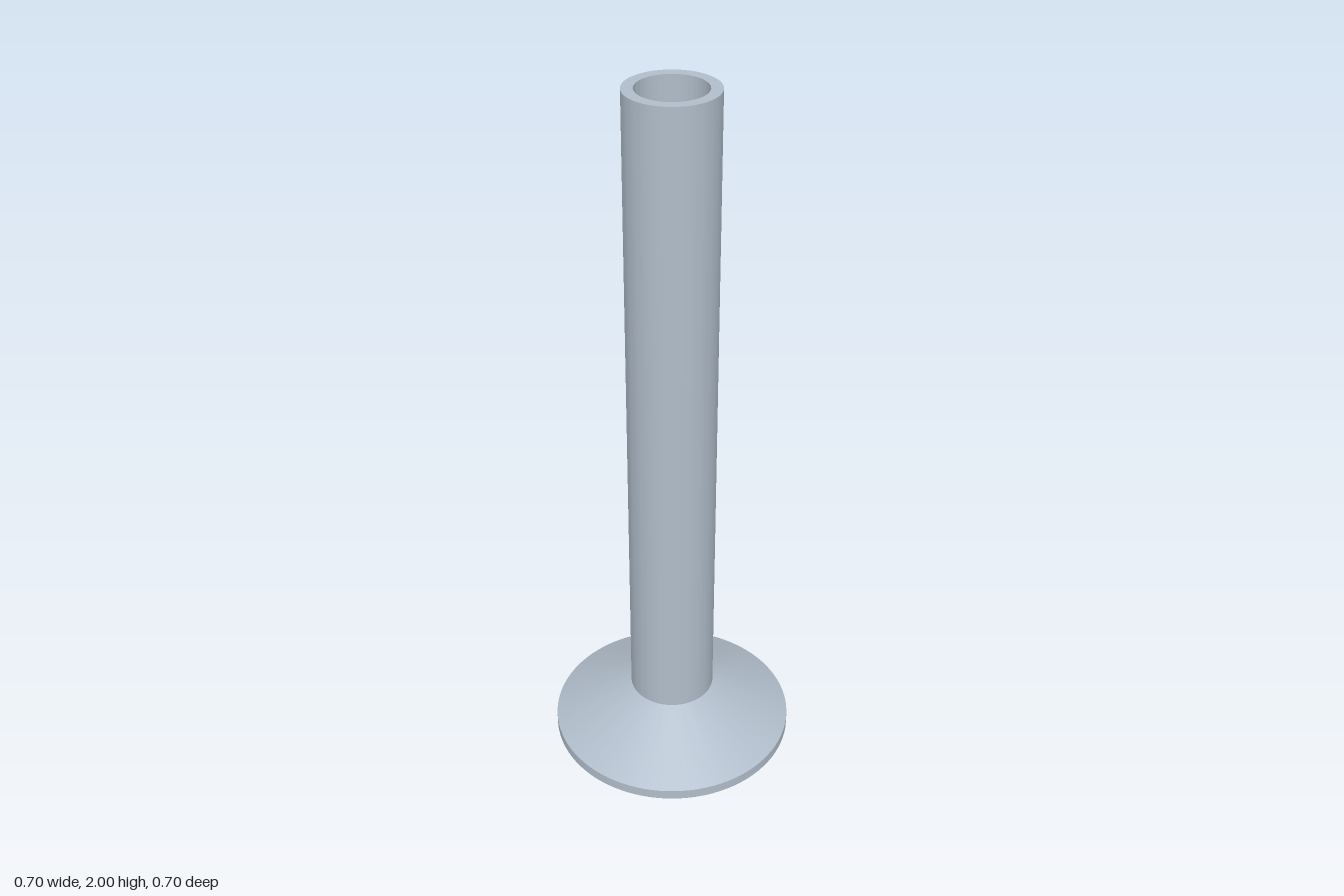
import * as THREE from 'three';
import { toCreasedNormals } from 'three/addons/utils/BufferGeometryUtils.js';

const SEGMENTS = 96;

// Revolve a profile of [radius, height] points, keeping its corners sharp
function revolve(name, profile, material) {
  const points = profile.map(([r, y]) => new THREE.Vector2(r, y));
  const geometry = toCreasedNormals(new THREE.LatheGeometry(points, SEGMENTS), 0.35);
  const mesh = new THREE.Mesh(geometry, material);
  mesh.name = name;
  return mesh;
}

export function createModel() {
  const steel = new THREE.MeshStandardMaterial({ color: 0xb0bdca });
  steel.name = 'pale steel';

  const outer = 0.122, bore = 0.092;   // tube radii
  const top = 2, neck = 0.15, throat = 0.12; // heights of rim, outer and inner joints

  const group = new THREE.Group();
  group.name = 'flaredTube';

  // Hollow tube: outer wall, top rim, bore
  group.add(revolve('tube', [[outer, neck], [outer, top], [bore, top], [bore, throat]], steel));

  // Conical foot: hollow underside, flat bottom ring, short edge, sloped top
  group.add(revolve('foot', [[bore, throat], [0.3, 0], [0.35, 0], [0.35, 0.03], [outer, neck]], steel));

  return group;
}
